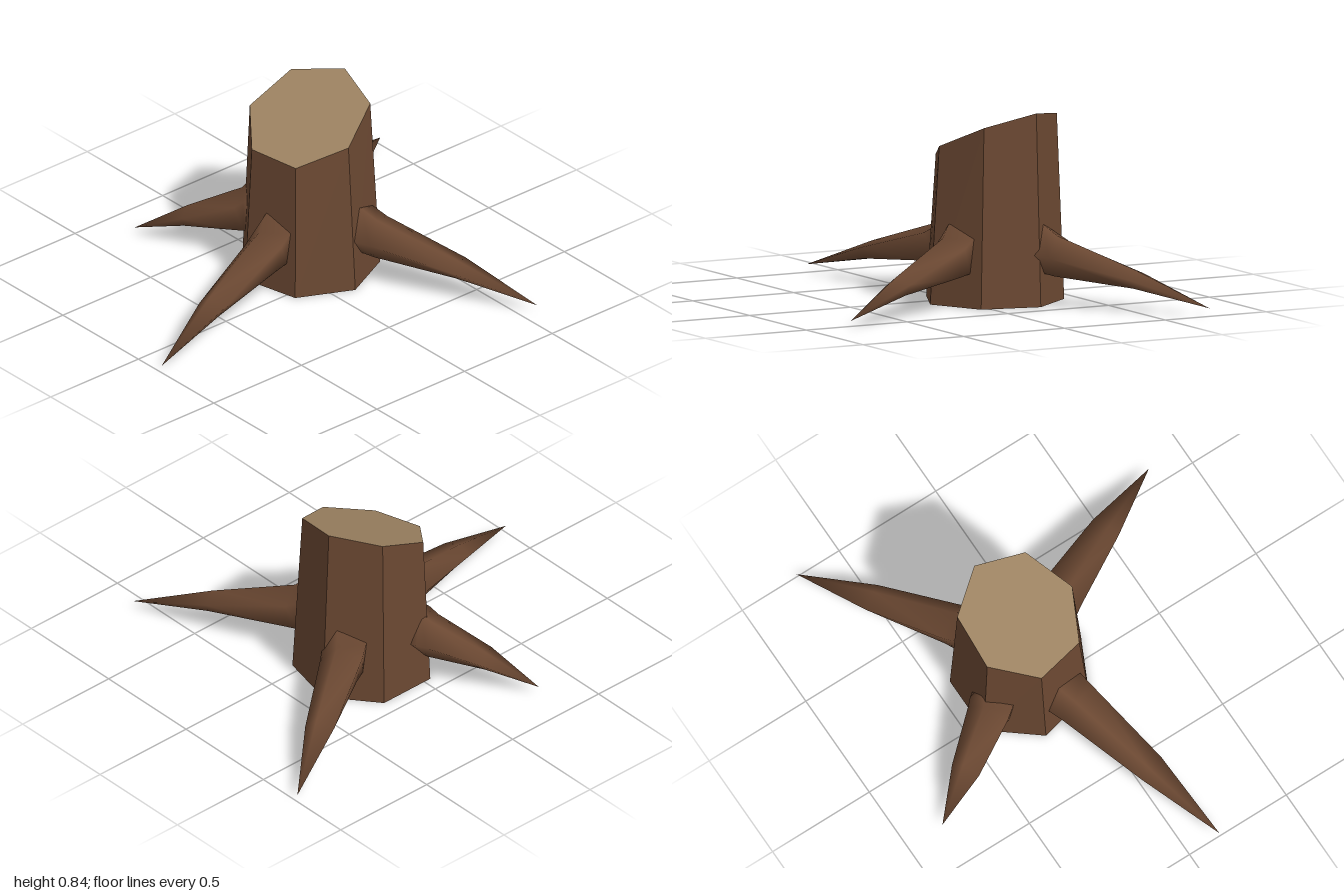
import * as THREE from 'three';

const bark = new THREE.MeshStandardMaterial({ color: 0x6b4832, side: THREE.DoubleSide, flatShading: true });
bark.name = 'bark';
const rootBark = new THREE.MeshStandardMaterial({ color: 0x6b4832 });
rootBark.name = 'root bark';
const cutWood = new THREE.MeshStandardMaterial({ color: 0x9c8261 });
cutWood.name = 'cut wood';

const CX = -0.15, CZ = -0.1, SIDES = 7;
const TOP_X = -0.157, TOP_R = 0.272, BASE_R = 0.31;

// height of the slanted saw cut
const cutHeight = (x, z) => 0.73 - 0.15 * (x - TOP_X) - 0.387 * (z - CZ);

// Root cross-sections: [distance factor, points across and up, clockwise seen from the tip]
const SECTIONS = [
  [-0.15, [[-0.05, 0.38], [0.08, 0.34], [0.07, 0.16], [-0.06, 0.15], [-0.12, 0.24]]],
  [0, [[-0.045, 0.355], [0.085, 0.30], [0.07, 0.15], [-0.05, 0.14], [-0.115, 0.225]]],
  [0.08, [[-0.03, 0.305], [0.085, 0.265], [0.06, 0.14], [-0.05, 0.13], [-0.105, 0.215]]],
  [0.55, [[-0.015, 0.18], [0.065, 0.155], [0.035, 0.105], [-0.03, 0.1], [-0.065, 0.14]]],
];

// Spike-like root from the trunk to a tip near the ground
function makeRoot(tipX, tipZ) {
  const length = Math.hypot(tipX - CX, tipZ - CZ);
  const dx = (tipX - CX) / length, dz = (tipZ - CZ) / length;
  const start = 0.27, n = 5;
  const positions = [], index = [];
  for (const [t, points] of SECTIONS) {
    const u = start + (length - start) * t;
    for (const [w, y] of points) positions.push(CX + dx * u + dz * w, y, CZ + dz * u - dx * w);
  }
  positions.push(tipX, 0.035, tipZ);
  const tip = SECTIONS.length * n;
  for (let s = 0; s < SECTIONS.length; s++) {
    for (let i = 0; i < n; i++) {
      const a = s * n + i, b = s * n + (i + 1) % n;
      if (s === SECTIONS.length - 1) index.push(a, tip, b);
      else index.push(a, a + n, b, b, a + n, b + n);
    }
  }
  for (let i = 1; i < n - 1; i++) index.push(0, i, i + 1); // inner end
  const geometry = new THREE.BufferGeometry();
  geometry.setAttribute('position', new THREE.Float32BufferAttribute(positions, 3));
  geometry.setIndex(index);
  geometry.computeVertexNormals();
  return new THREE.Mesh(geometry, rootBark);
}

export function createModel() {
  const group = new THREE.Group();
  group.name = 'treeStump';

  // trunk wall, open below, its upper rim moved onto the cut
  const wall = new THREE.CylinderGeometry(TOP_R, BASE_R, 1, SIDES, 1, true, Math.PI / 2);
  const p = wall.attributes.position;
  for (let i = 0; i < p.count; i++) {
    const top = p.getY(i) > 0;
    const x = p.getX(i) + (top ? TOP_X : CX), z = p.getZ(i) + CZ;
    p.setXYZ(i, x, top ? cutHeight(x, z) : 0, z);
  }
  wall.computeVertexNormals();
  const trunk = new THREE.Mesh(wall, bark);
  trunk.name = 'trunk';
  group.add(trunk);

  // slanted cut face
  const face = new THREE.CircleGeometry(TOP_R, SIDES);
  face.rotateX(-Math.PI / 2).translate(TOP_X, 0, CZ);
  const q = face.attributes.position;
  for (let i = 0; i < q.count; i++) q.setY(i, cutHeight(q.getX(i), q.getZ(i)));
  face.computeVertexNormals();
  const cut = new THREE.Mesh(face, cutWood);
  cut.name = 'cutTop';
  group.add(cut);

  // roots
  const tips = { frontRoot: [0.155, 1.0], leftRoot: [0.82, -0.57], backRoot: [-0.72, -1.0], rightRoot: [-0.825, 0.31] };
  for (const [name, [x, z]] of Object.entries(tips)) {
    const root = makeRoot(x, z);
    root.name = name;
    group.add(root);
  }
  return group;
}
